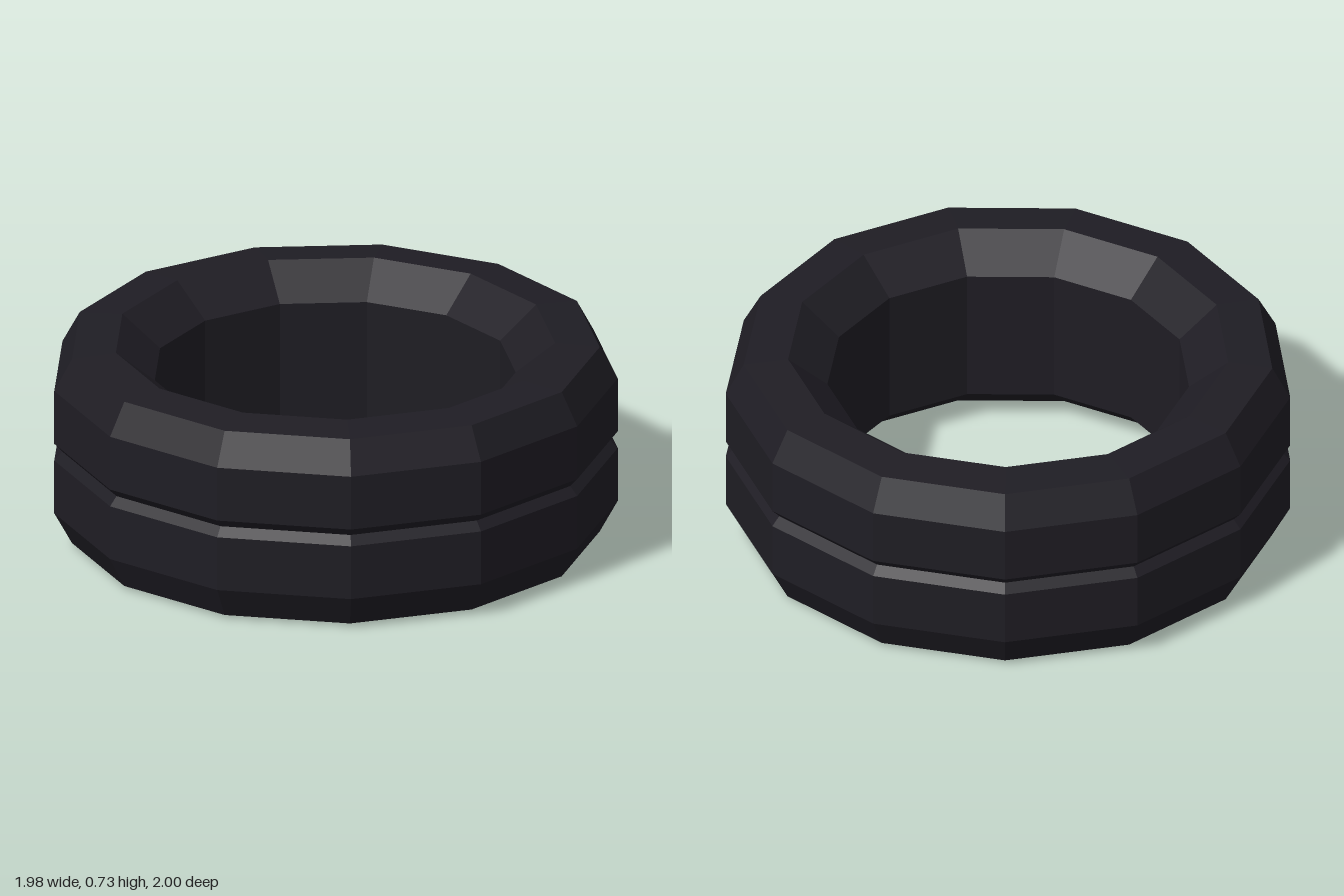
import * as THREE from 'three';

const SIDES = 13;
const HEIGHT = 0.726;

export function createModel() {
  const group = new THREE.Group();
  group.name = 'tyre';

  // Lower half of the cross-section (radius, height), from inner wall to tread groove
  const lower = [
    [0.645, 0.115], // inner wall edge
    [0.785, 0],     // bead ridge
    [0.943, 0.012], // shoulder
    [1.007, 0.13],  // tread edge
    [1.007, 0.331], // groove lip
  ];
  const upper = lower.map(([r, y]) => [r, HEIGHT - y]).reverse();
  const profile = [...lower, [0.978, HEIGHT / 2], ...upper, lower[0]]
    .map(([r, y]) => new THREE.Vector2(r, y));

  // Closed ring with one corner pointing to +x
  const geometry = new THREE.LatheGeometry(profile, SIDES, Math.PI / 2);
  const material = new THREE.MeshStandardMaterial({ color: 0x1f1d24, flatShading: true });
  const ring = new THREE.Mesh(geometry, material);
  ring.name = 'tyreRing';
  ring.position.x = -0.015; // centres the odd-sided outline
  group.add(ring);

  return group;
}
